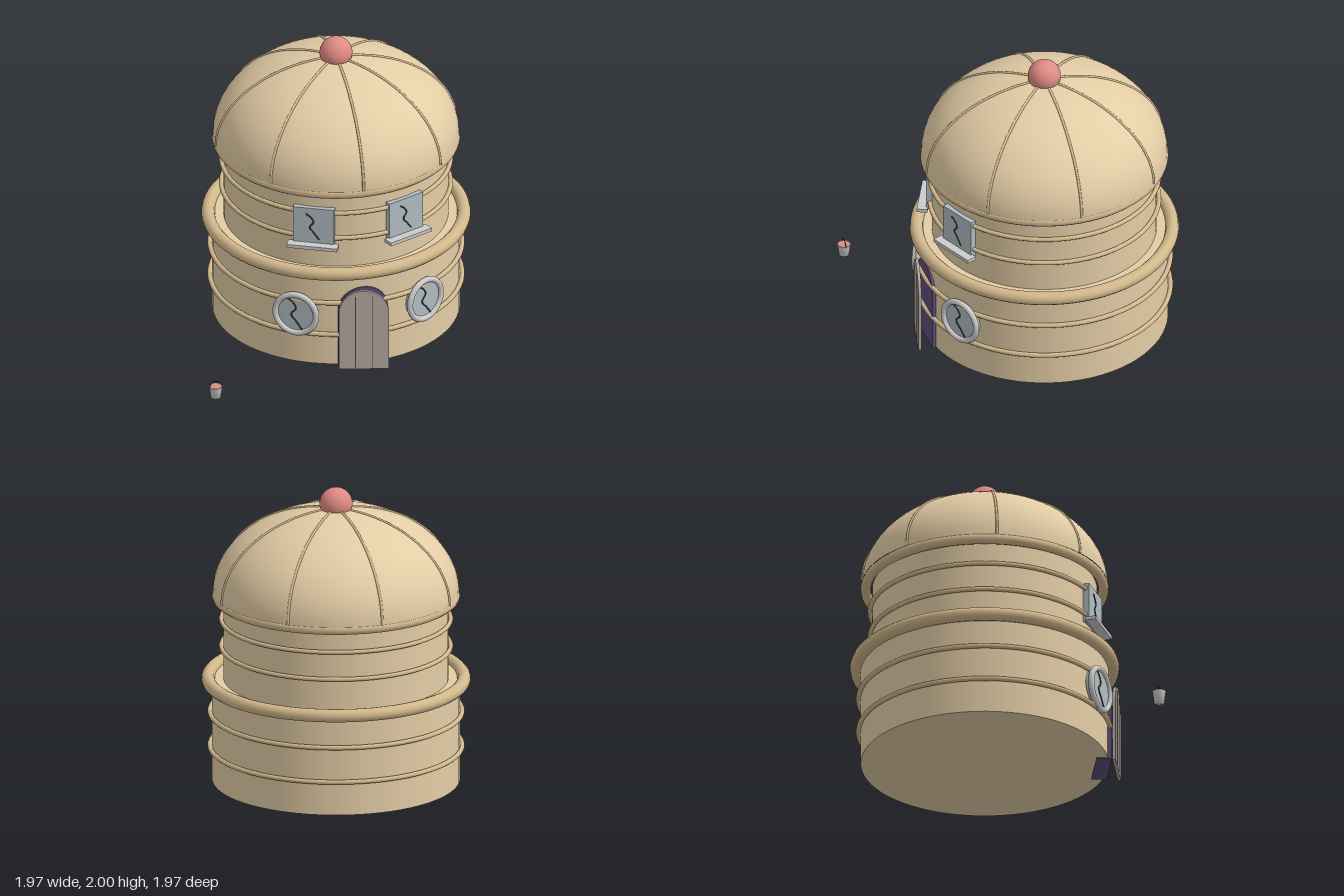
import * as THREE from 'three';

const mat = (color) => new THREE.MeshStandardMaterial({ color });
const wall = mat(0xe3cda6), trim = mat(0xd2b88c), pink = mat(0xdf8a84), wood = mat(0xb5a8a0);
const dark = mat(0x3c4248), purple = mat(0x5c4c78), glass = mat(0xb0bcc2), frame = mat(0xcccccc);

function add(parent, name, geometry, material, x = 0, y = 0, z = 0) {
  const mesh = new THREE.Mesh(geometry, material);
  mesh.name = name;
  mesh.position.set(x, y, z);
  parent.add(mesh);
  return mesh;
}

function ring(parent, name, y, radius, tube) {
  const mesh = add(parent, name, new THREE.TorusGeometry(radius, tube, 12, 72), trim, 0, y, 0);
  mesh.rotation.x = Math.PI / 2;
}

// Round-topped slab, left edge at x = 0, standing on y = 0
function arch(width, height, depth) {
  const r = width / 2;
  const s = new THREE.Shape();
  s.moveTo(0, 0);
  s.lineTo(width, 0);
  s.lineTo(width, height - r);
  s.absarc(r, height - r, r, 0, Math.PI, false);
  s.lineTo(0, 0);
  return new THREE.ExtrudeGeometry(s, { depth, bevelEnabled: false, curveSegments: 24 });
}

// Winding dark line across a window pane
function crack(parent, size, z) {
  const pts = [[-0.42, 0.75], [-0.1, 0.5], [0.0, 0.25], [-0.2, -0.05], [0.05, -0.4], [0.3, -0.75]]
    .map(([x, y]) => new THREE.Vector3(x * size, y * size, z));
  add(parent, 'paneCrack', new THREE.TubeGeometry(new THREE.CatmullRomCurve3(pts), 32, 0.005, 6), dark);
}

// Group turned to face outward from the tower axis
function facing(parent, name, angle, y) {
  const g = new THREE.Group();
  g.name = name;
  g.rotation.y = angle;
  g.position.y = y;
  parent.add(g);
  return g;
}

export function createModel() {
  const model = new THREE.Group();
  const house = new THREE.Group();
  house.name = 'house';
  house.position.set(0.1, 0, -0.1);
  model.add(house);

  // Two stacked drums with hoops
  add(house, 'lowerWall', new THREE.CylinderGeometry(0.81, 0.81, 0.69, 72), wall, 0, 0.355, 0);
  add(house, 'upperWall', new THREE.CylinderGeometry(0.735, 0.735, 0.58, 72), wall, 0, 0.98, 0);
  for (const y of [0.24, 0.475]) ring(house, 'lowerHoop', y, 0.825, 0.016);
  for (const y of [0.92, 1.105]) ring(house, 'upperHoop', y, 0.75, 0.015);
  ring(house, 'ledgeRing', 0.698, 0.836, 0.044);

  // Domed roof, rim, ribs and ball
  const baseY = 1.29, R = 0.805, H = 0.572;
  const profile = [];
  for (let i = 0; i <= 28; i++) {
    const a = (i / 28) * Math.PI / 2;
    profile.push(new THREE.Vector2(Math.max(R * Math.cos(a), 0), baseY + H * Math.sin(a)));
  }
  add(house, 'roofDome', new THREE.LatheGeometry(profile, 72), wall);
  ring(house, 'roofRim', 1.268, 0.777, 0.034);
  const ribCurve = new THREE.CatmullRomCurve3(
    profile.map((p) => new THREE.Vector3(0, p.y, p.x)));
  const ribGeo = new THREE.TubeGeometry(ribCurve, 48, 0.009, 8);
  for (let i = 0; i < 8; i++) {
    add(house, 'roofRib', ribGeo, trim).rotation.y = i * Math.PI / 4;
  }
  add(house, 'roofBall', new THREE.SphereGeometry(0.108, 32, 24), pink, 0, 1.892, 0);

  for (const side of [-1, 1]) {
    // Round lower windows
    const round = facing(house, 'roundWindow', side * 0.545, 0.38);
    add(round, 'roundFrame', new THREE.TorusGeometry(0.14, 0.02, 12, 48), frame, 0, 0, 0.838);
    const pane = add(round, 'roundPane', new THREE.CylinderGeometry(0.14, 0.14, 0.05, 48), glass, 0, 0, 0.813);
    pane.rotation.x = Math.PI / 2;
    crack(round, 0.155, 0.84);

    // Square upper windows with sills
    const square = facing(house, 'squareWindow', side * 0.42, 1.005);
    add(square, 'squarePane', new THREE.BoxGeometry(0.272, 0.27, 0.05), glass, 0, 0, 0.7385);
    add(square, 'windowSill', new THREE.BoxGeometry(0.336, 0.024, 0.07), frame, 0, -0.132, 0.785);
    crack(square, 0.125, 0.765);
  }

  // Doorway with the plank door ajar
  add(model, 'doorway', arch(0.33, 0.575, 0.1), purple, -0.07, 0.005, 0.618);
  const door = new THREE.Group();
  door.name = 'door';
  door.position.set(-0.07, 0, 0.722);
  door.rotation.y = -0.21;
  model.add(door);
  add(door, 'doorLeaf', arch(0.328, 0.58, 0.02), wood);
  for (const x of [0.109, 0.218]) {
    add(door, 'plankGroove', new THREE.BoxGeometry(0.006, 0.53, 0.004), dark, x, 0.275, 0.02);
  }

  // Bucket
  const bucket = new THREE.Group();
  bucket.name = 'bucket';
  bucket.position.set(-0.945, 0.01, 0.94);
  model.add(bucket);
  const pail = [[0, 0], [0.033, 0], [0.043, 0.078], [0.045, 0.082], [0.04, 0.082], [0.038, 0.07]]
    .map(([x, y]) => new THREE.Vector2(x, y));
  const pailMat = mat(0xcccccc);
  pailMat.side = THREE.DoubleSide;
  add(bucket, 'pail', new THREE.LatheGeometry(pail, 32), pailMat);
  add(bucket, 'pailContents', new THREE.CylinderGeometry(0.04, 0.038, 0.006, 32), pink, 0, 0.077, 0);
  add(bucket, 'pailHandle', new THREE.TorusGeometry(0.041, 0.003, 8, 24, Math.PI), dark, 0, 0.074, 0);

  return model;
}
